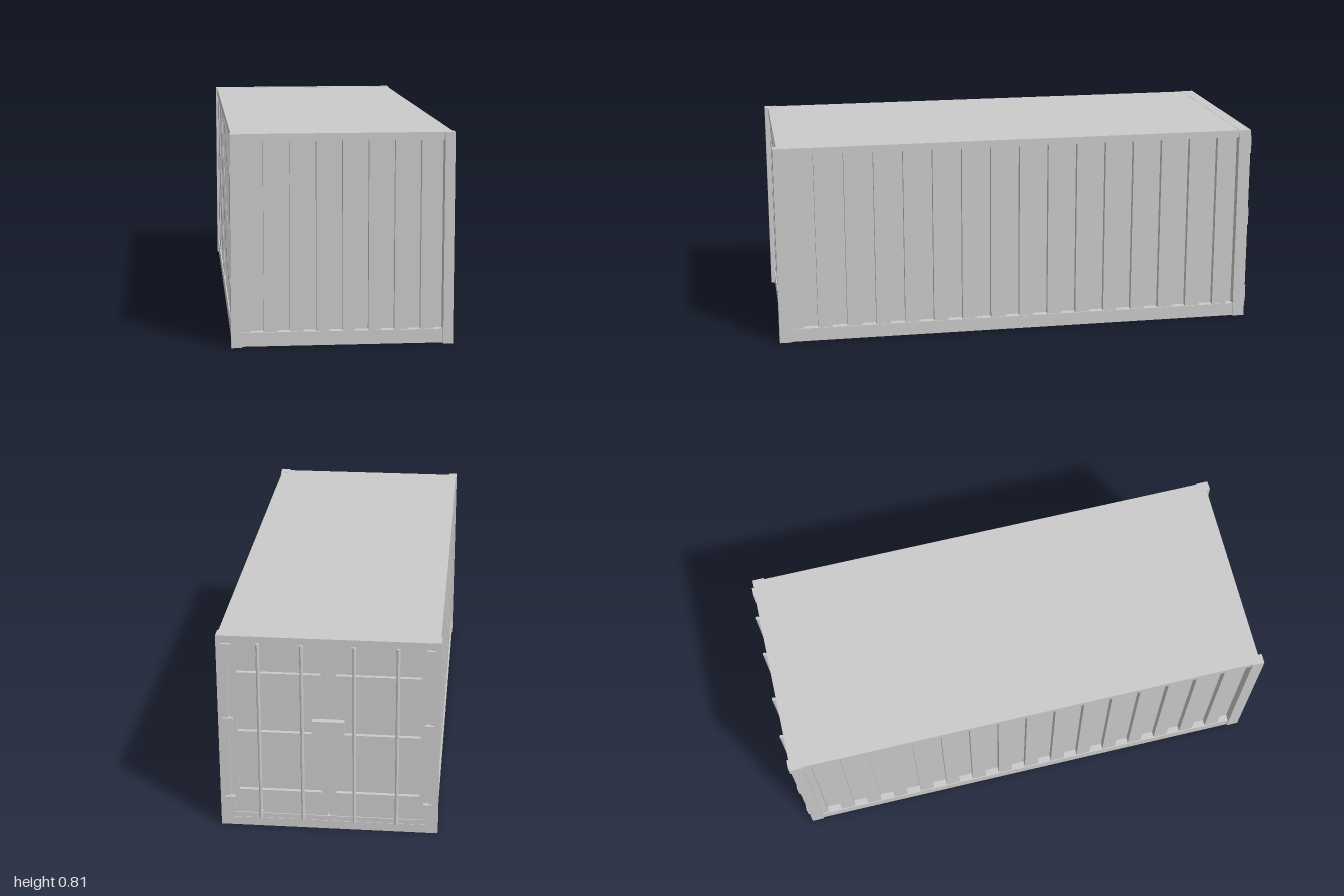
import * as THREE from 'three';

const H = 0.815, BACK = -0.98;
const mat = new THREE.MeshStandardMaterial({ color: 0xcccccc, flatShading: true });

export function createModel() {
  const root = new THREE.Group();
  root.name = 'shippingContainer';

  const add = (name, geo, parent = root) => {
    const m = new THREE.Mesh(geo, mat);
    m.name = name;
    parent.add(m);
    return m;
  };
  // Box given by its minimum and maximum on each axis
  const box = (name, x0, x1, y0, y1, z0, z1, parent) => {
    const g = new THREE.BoxGeometry(x1 - x0, y1 - y0, z1 - z0);
    g.translate((x0 + x1) / 2, (y0 + y1) / 2, (z0 + z1) / 2);
    return add(name, g, parent);
  };

  // Square-wave wall facing +z: steps of one pitch, from x = a to x = b
  const corrugated = (name, a, b, pitch, steps) => {
    const depth = 0.025, thick = 0.045;
    const s = new THREE.Shape();
    s.moveTo(a, thick);
    let level = 0;
    s.lineTo(a, level);
    for (let k = -steps; k <= steps; k++) {
      s.lineTo(k * pitch, level);
      level = depth - level;
      s.lineTo(k * pitch, level);
    }
    s.lineTo(b, level);
    s.lineTo(b, thick);
    const g = new THREE.ExtrudeGeometry(s, { depth: 0.74, bevelEnabled: false });
    g.rotateX(-Math.PI / 2);
    g.translate(0, 0.05, 0);
    return add(name, g);
  };

  // Roof and floor
  box('roof', -0.42, 0.42, 0.785, H - 0.001, BACK + 0.002, 0.985);
  box('floor', -0.42, 0.42, 0.001, 0.055, BACK + 0.002, 0.985);

  // Corner posts
  for (const s of [-1, 1]) {
    const [x0, x1] = s > 0 ? [0.385, 0.425] : [-0.425, -0.385];
    box('frontPost', x0, x1, 0, H, 0.95, 1);
    box('backPost', x0, x1, 0, H, BACK, -0.93);
  }

  // Corrugated walls
  corrugated('frontWall', -0.385, 0.385, 0.05, 7).position.z = 0.98;
  const left = corrugated('leftWall', -0.95, 0.93, 0.06, 15);
  left.rotation.y = Math.PI / 2;
  left.position.x = 0.416;
  const right = corrugated('rightWall', -0.93, 0.95, 0.06, 15);
  right.rotation.y = -Math.PI / 2;
  right.position.x = -0.416;

  // Back frame rails around the doors
  box('backTopRail', -0.386, 0.386, 0.785, H, BACK, -0.93);
  box('backBottomRail', -0.386, 0.386, 0, 0.035, BACK, -0.93);
  box('doorBacking', -0.386, 0.386, 0.03, 0.79, -0.958, -0.935);

  // Door leaves with three recessed bands, hinges and locking rods
  const rect = (P, x0, x1, y0, y1) => {
    const p = new P();
    p.moveTo(x0, y0);
    p.lineTo(x1, y0);
    p.lineTo(x1, y1);
    p.lineTo(x0, y1);
    p.closePath();
    return p;
  };
  for (const s of [-1, 1]) {
    const door = new THREE.Group();
    door.name = s > 0 ? 'leftDoor' : 'rightDoor';
    root.add(door);
    const span = (a, b) => (s > 0 ? [a, b] : [-b, -a]);

    const leaf = rect(THREE.Shape, ...span(0.004, 0.38), 0.037, 0.782);
    for (const y of [0.185, 0.44, 0.69]) {
      leaf.holes.push(rect(THREE.Path, ...span(0.028, 0.352), y - 0.028, y + 0.028));
    }
    const g = new THREE.ExtrudeGeometry(leaf, { depth: 0.018, bevelEnabled: false });
    g.translate(0, 0, -0.974);
    add('doorLeaf', g, door);

    for (const y of [0.092, 0.435, 0.748]) {
      box('hinge', ...span(0.368, 0.405), y - 0.037, y + 0.037, -0.99, -0.965, door);
    }
    for (const x of [0.1, 0.265]) {
      const rod = add('lockingRod', new THREE.CylinderGeometry(0.007, 0.007, 0.75, 8), door);
      rod.position.set(s * x, 0.415, -0.991);
      for (const y of [0.06, 0.77]) {
        box('rodBracket', s * x - 0.007, s * x + 0.007, y - 0.01, y + 0.01, -0.99, -0.97, door);
      }
    }
  }

  // Lock box across the door seam
  box('lockBox', -0.062, 0.062, 0.415, 0.478, -1, -0.97);

  return root;
}
